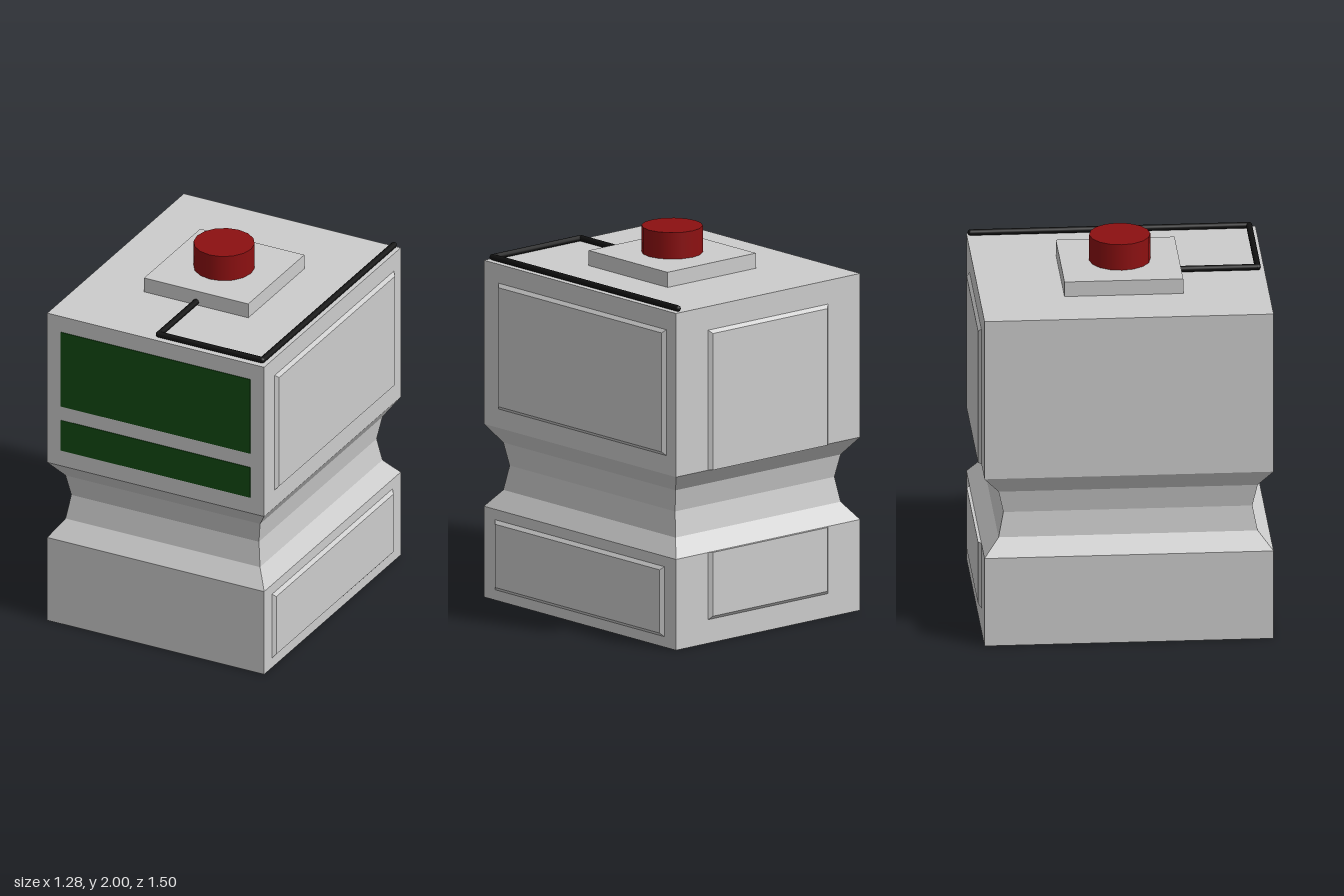
import * as THREE from 'three';

const grey = new THREE.MeshStandardMaterial({ color: 0xcccccc, name: 'casing grey' });
const green = new THREE.MeshStandardMaterial({ color: 0x124a12, name: 'screen green' });
const red = new THREE.MeshStandardMaterial({ color: 0x8c1011, name: 'button red' });
const black = new THREE.MeshStandardMaterial({ color: 0x111111, name: 'cable black' });

// Flat-faced solid lofted through rectangles given as [y, x0, x1, z0, z1]
function loft(sections) {
  const rings = sections.map(([y, x0, x1, z0, z1]) =>
    [[x0, y, z1], [x1, y, z1], [x1, y, z0], [x0, y, z0]]);
  const pos = [];
  const quad = (a, b, c, d) => pos.push(...a, ...b, ...c, ...a, ...c, ...d);
  for (let i = 0; i < rings.length - 1; i++) {
    const lo = rings[i], hi = rings[i + 1];
    for (let j = 0; j < 4; j++) {
      const k = (j + 1) % 4;
      quad(lo[j], lo[k], hi[k], hi[j]);
    }
  }
  const [a, b, c, d] = rings[0];
  quad(d, c, b, a);
  quad(...rings[rings.length - 1]);
  const geo = new THREE.BufferGeometry();
  geo.setAttribute('position', new THREE.Float32BufferAttribute(pos, 3));
  geo.computeVertexNormals();
  return geo;
}

export function createModel() {
  const model = new THREE.Group();
  model.name = 'buttonMachine';
  const add = (name, geo, mat, x = 0, y = 0, z = 0) => {
    const mesh = new THREE.Mesh(geo, mat);
    mesh.name = name;
    mesh.position.set(x, y, z);
    model.add(mesh);
    return mesh;
  };

  // Casing with a pinched waist: [height, inset in x, inset in z]
  const profile = [[0, 0, 0], [0.48, 0, 0], [0.57, 0.065, 0.077], [0.70, 0.085, 0.103],
    [0.82, 0.065, 0.077], [0.915, 0, 0], [1.78, 0, 0]];
  add('casing', loft(profile.map(([y, ix, iz]) =>
    [y, -0.64 + ix, 0.62 - ix, -0.735 + iz, 0.75 - iz])), grey);

  // Bevelled panels on the left side
  const b = 0.018, depth = 0.016;
  for (const [name, y0, y1, z0, z1] of [
    ['upperSidePanel', 1.015, 1.68, -0.66, 0.635],
    ['lowerSidePanel', 0.055, 0.425, -0.645, 0.665]]) {
    add(name, loft([[0, -y1, -y0, z0, z1], [depth, -y1 + b, -y0 - b, z0 + b, z1 - b]]),
      grey, 0.62).rotation.z = -Math.PI / 2;
  }

  // Back panels, running square into the waist edges
  for (const [name, y0, y1, bevelLow, bevelHigh] of [
    ['upperBackPanel', 0.915, 1.655, 0, b],
    ['lowerBackPanel', 0.125, 0.48, b, 0]]) {
    add(name, loft([[0, -0.42, 0.40, y0, y1],
      [depth, -0.42 + b, 0.40 - b, y0 + bevelLow, y1 - bevelHigh]]),
    grey, 0, 0, -0.735).rotation.x = -Math.PI / 2;
  }

  // Front screens
  for (const [name, y0, y1] of [['upperScreen', 1.26, 1.69], ['lowerScreen', 1.005, 1.18]]) {
    add(name, new THREE.BoxGeometry(1.10, y1 - y0, 0.006), green, -0.01, (y0 + y1) / 2, 0.75);
  }

  // Button on its square base
  add('buttonBase', new THREE.BoxGeometry(0.605, 0.08, 0.61), grey, -0.01, 1.82, 0.005);
  add('button', new THREE.CylinderGeometry(0.157, 0.157, 0.14, 16), red, -0.01, 1.93, 0.006);

  // Cable laid over the top in straight runs with rounded corners
  const r = 0.016;
  const path = [[-0.01, 0.29], [-0.01, 0.715], [0.59, 0.715], [0.59, -0.715]];
  for (let i = 0; i < path.length - 1; i++) {
    const [xa, za] = path[i], [xb, zb] = path[i + 1];
    const run = add('cable' + (i + 1),
      new THREE.CapsuleGeometry(r, Math.hypot(xb - xa, zb - za), 4, 10),
      black, (xa + xb) / 2, 1.798, (za + zb) / 2);
    if (xa === xb) run.rotation.x = Math.PI / 2;
    else run.rotation.z = Math.PI / 2;
  }
  return model;
}
